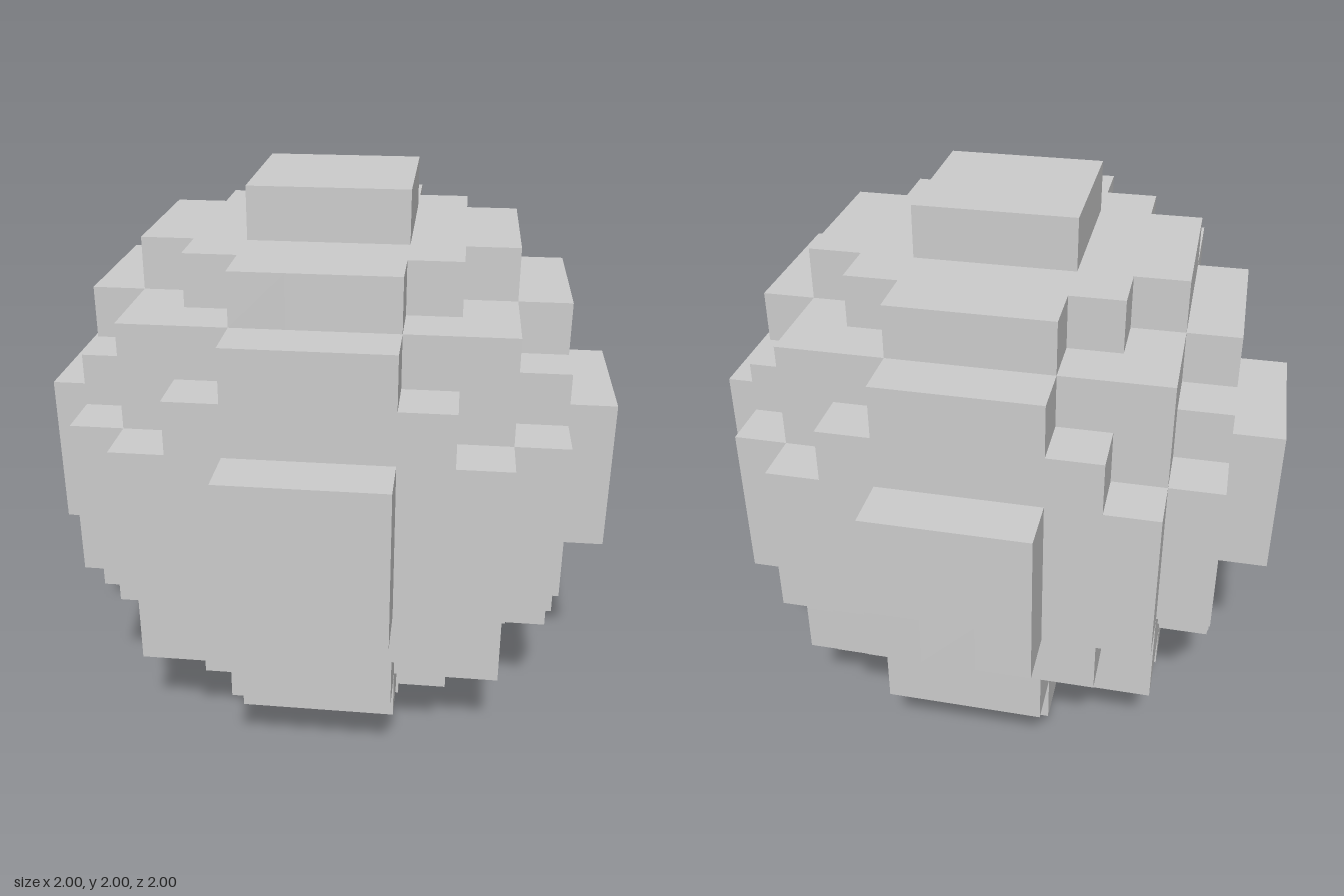
import * as THREE from 'three';
import { mergeGeometries } from 'three/addons/utils/BufferGeometryUtils.js';

const RADIUS = 5;          // blocks from the middle block to the outermost one
const BLOCK = 2 / 11;      // edge of one block
const LIMIT = 27;          // blocks with i² + j² + k² <= LIMIT are solid

// Outer faces of the stepped ball seen along +z: one square per block column
function steppedSide() {
  const squares = [];
  for (let i = -RADIUS; i <= RADIUS; i++) {
    for (let j = -RADIUS; j <= RADIUS; j++) {
      const rest = LIMIT - i * i - j * j;
      if (rest < 0) continue;
      const k = Math.floor(Math.sqrt(rest));
      squares.push(new THREE.PlaneGeometry(BLOCK, BLOCK)
        .translate(i * BLOCK, j * BLOCK, (k + 0.5) * BLOCK));
    }
  }
  return mergeGeometries(squares);
}

export function createModel() {
  const model = new THREE.Group();
  model.name = 'blockSphere';
  const material = new THREE.MeshStandardMaterial({ color: 0xcccccc, flatShading: true });
  const side = steppedSide();
  const q = Math.PI / 2;

  // The same stepped side turned to all six directions closes the ball
  const turns = {
    frontSide: [0, 0], leftSide: [0, q], backSide: [0, 2 * q],
    rightSide: [0, -q], topSide: [-q, 0], bottomSide: [q, 0],
  };
  for (const [name, [rx, ry]] of Object.entries(turns)) {
    const mesh = new THREE.Mesh(side.clone().rotateX(rx).rotateY(ry), material);
    mesh.name = name;
    mesh.position.y = 1;
    model.add(mesh);
  }
  return model;
}
